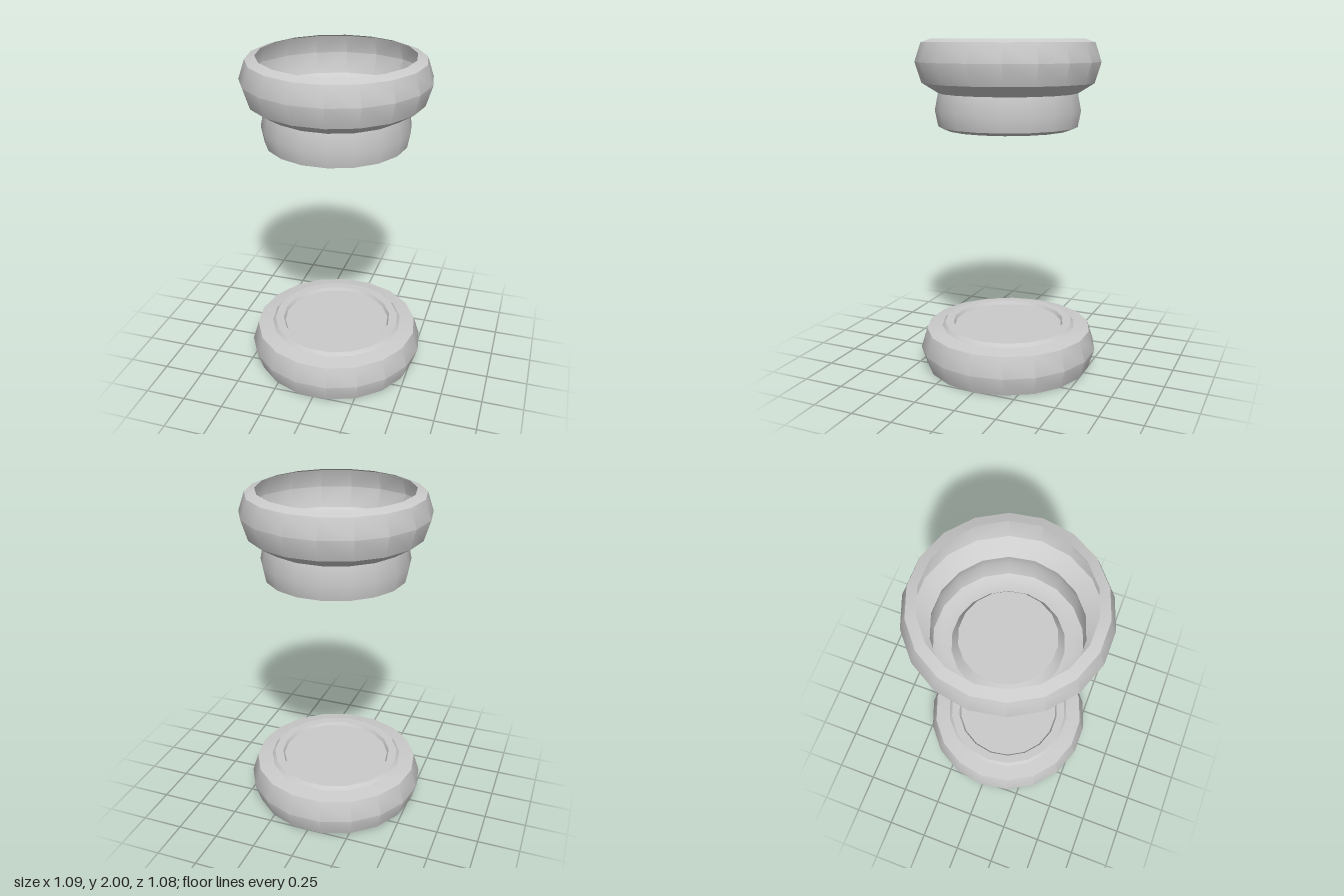
import * as THREE from 'three';
import { toCreasedNormals } from 'three/addons/utils/BufferGeometryUtils.js';

const material = new THREE.MeshStandardMaterial({ color: 0xcccccc, side: THREE.DoubleSide });

// Thin 18-sided shell turned from [radius, height] pairs, with a corner on the x axis
function turnedShell(name, profile) {
  const points = profile.map(([r, y]) => new THREE.Vector2(r, y));
  const lathe = new THREE.LatheGeometry(points, 18, Math.PI / 2);
  const mesh = new THREE.Mesh(toCreasedNormals(lathe, 0.65), material);
  mesh.name = name;
  return mesh;
}

export function createModel() {
  const group = new THREE.Group();
  group.name = 'twoPartContainer';

  // Upper cup: raised floor, narrow neck, flared collar and open rim
  group.add(turnedShell('upperCup', [
    [0, 1.555], [0.274, 1.555], [0.315, 1.475], // raised floor
    [0.37, 1.475], [0.417, 1.495], // foot
    [0.435, 1.59], [0.415, 1.69], // neck
    [0.51, 1.75], [0.547, 1.87], [0.51, 1.98], // collar
    [0.452, 2], // rim
  ]));

  // Lower cap: open below, with a raised ring around a sunken disc
  group.add(turnedShell('lowerCap', [
    [0.51, 0], [0.547, 0.115], [0.51, 0.235], // side wall
    [0.415, 0.25], [0.397, 0.27], [0.345, 0.27], // raised ring
    [0.334, 0.25], [0, 0.25], // sunken disc
  ]));

  return group;
}
